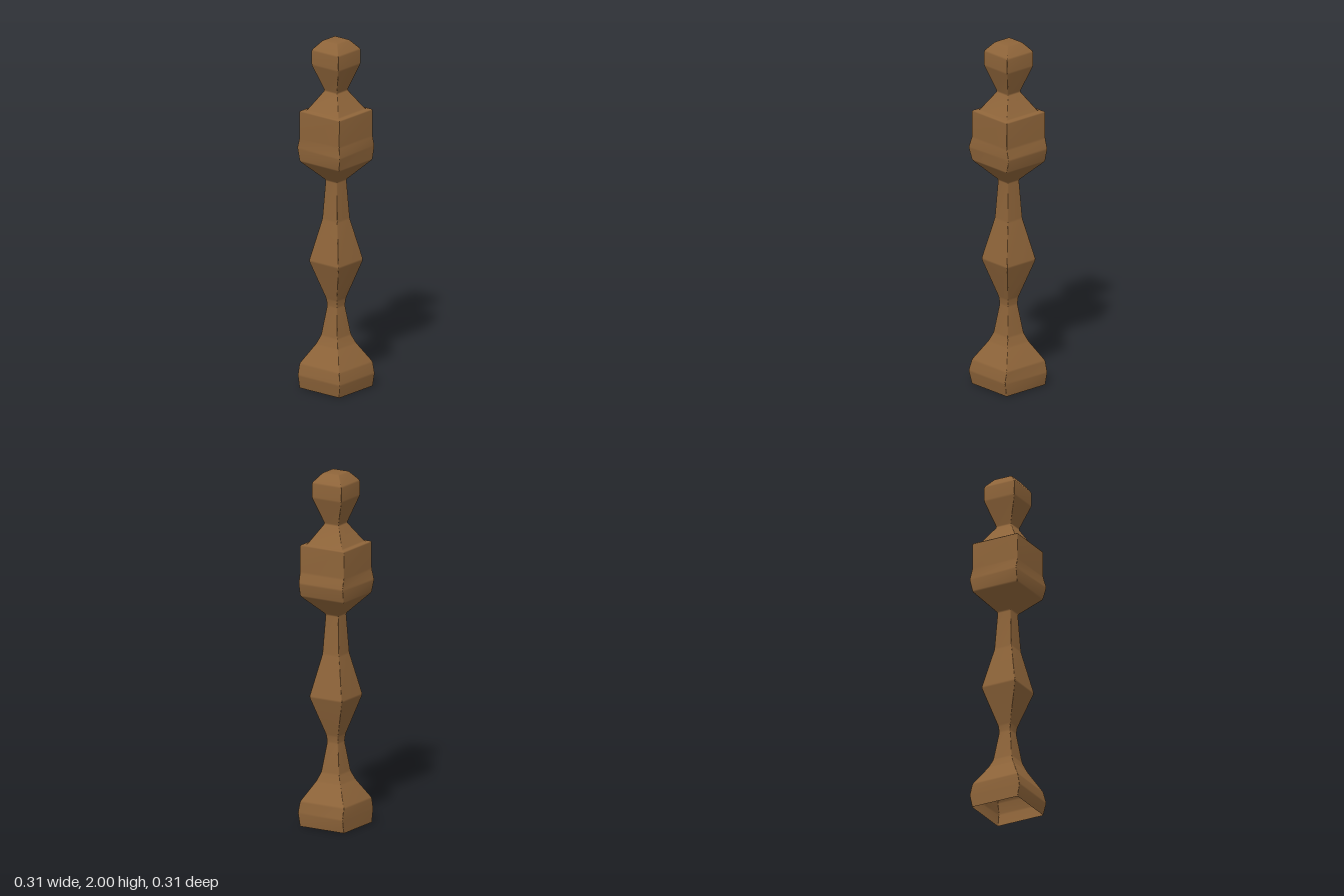
import * as THREE from 'three';

const wood = new THREE.MeshStandardMaterial({ color: 0x8f653a, side: THREE.DoubleSide });
wood.name = 'warm wood';

// Corner signs, running from front left around the back
const SIGNS = [[1, 1], [1, -1], [-1, -1], [-1, 1]];

// Slightly uneven corners of the two swollen bands
const footBand = [[0.157, 0.157], [0.157, -0.145], [-0.145, -0.16], [-0.145, 0.157]];
const blockBand = [[0.157, 0.157], [0.143, -0.16], [-0.145, -0.16], [-0.16, 0.143]];

// Profile from the open foot to the flat crown: half width, height, optional corners
const PROFILE = [
  [0.144, 0], [0.157, 0.075, footBand], [0.144, 0.14],
  [0.08, 0.25], [0.06, 0.3], [0.036, 0.47], [0.04, 0.51],
  [0.107, 0.73], [0.055, 0.97], [0.042, 1.195],
  [0.143, 1.305], [0.157, 1.38, blockBand], [0.144, 1.44], [0.144, 1.595],
  [0.116, 1.597], [0.046, 1.71],
  [0.097, 1.86], [0.097, 1.945], [0.052, 2], [0, 2],
];

const corners = ([h, y, custom]) =>
  (custom || SIGNS.map(([sx, sz]) => [sx * h, sz * h])).map(([x, z]) => new THREE.Vector3(x, y, z));

// Move a point a short way towards another
const towards = (a, b, d) => a.clone().lerp(b, Math.min(0.3, d / Math.max(a.distanceTo(b), 1e-6)));

// Replace every profile ring by a narrow bevel so the long faces stay flat
function bevelRings(rings, size) {
  const out = [];
  rings.forEach((ring, i) => {
    if (i === 0 || i === rings.length - 1) return out.push(ring);
    for (const other of [rings[i - 1], rings[i + 1]])
      out.push(ring.map((p, k) => towards(p, other[k], size)));
  });
  return out;
}

// Cut each of the four vertical edges with a tiny chamfer
const chamfer = (ring, size) => ring.flatMap((p, k) => [
  towards(p, ring[(k + 3) % 4], size), towards(p, ring[(k + 1) % 4], size),
]);

function loft(rings) {
  const n = rings[0].length, index = [];
  for (let r = 0; r < rings.length - 1; r++)
    for (let k = 0; k < n; k++) {
      const a = r * n + k, b = r * n + (k + 1) % n;
      index.push(a, b, b + n, a, b + n, a + n);
    }
  const geometry = new THREE.BufferGeometry().setFromPoints(rings.flat());
  geometry.setIndex(index);
  geometry.computeVertexNormals();
  return geometry;
}

export function createModel() {
  const group = new THREE.Group();
  group.name = 'baluster';
  const rings = bevelRings(PROFILE.map(corners), 0.006).map((ring) => chamfer(ring, 0.004));
  const post = new THREE.Mesh(loft(rings), wood);
  post.name = 'turnedSquarePost';
  group.add(post);
  return group;
}
